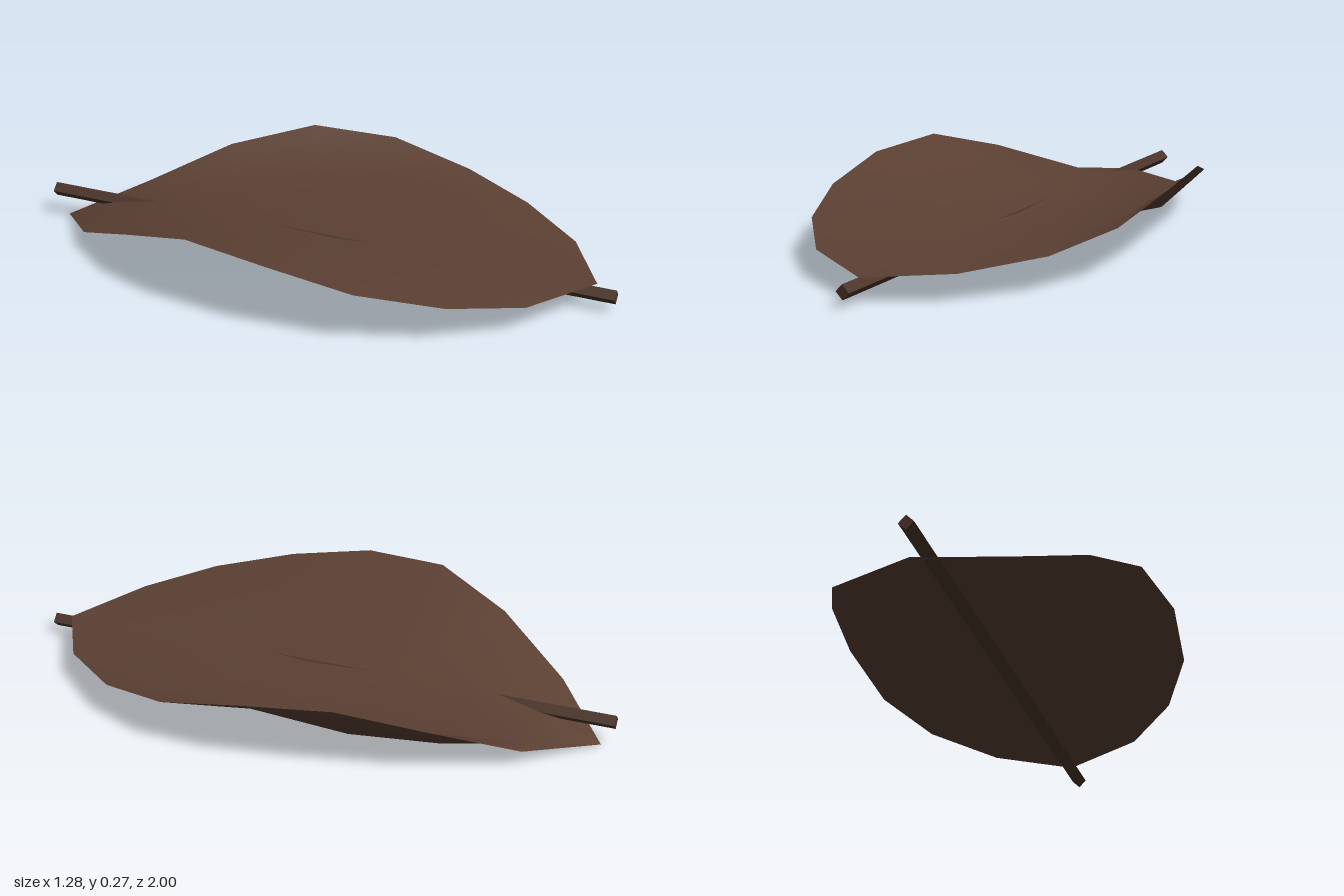
import * as THREE from 'three';

const leafBrown = new THREE.MeshStandardMaterial({ color: 0x5c4033, side: THREE.DoubleSide });
leafBrown.name = 'leafBrown';
const stemBrown = new THREE.MeshStandardMaterial({ color: 0x4a3328, flatShading: true });
stemBrown.name = 'stemBrown';

// Cross-sections from back tip to front tip: left edge, heights of the midrib and the margin bend, right edge
const stations = [
  { l: [-0.41, 0, -0.95], mid: 0, bend: 0, r: [-0.41, 0, -0.95] },
  { l: [-0.57, 0.07, -0.66], mid: 0.095, bend: 0.066, r: [-0.10, 0.07, -0.85] },
  { l: [-0.64, 0.19, -0.33], mid: 0.126, bend: 0.085, r: [0.17, 0.19, -0.68] },
  { l: [-0.64, 0.27, -0.03], mid: 0.108, bend: 0.105, r: [0.39, 0.27, -0.45] },
  { l: [-0.57, 0.25, 0.27], mid: 0.092, bend: 0.15, r: [0.55, 0.25, -0.18] },
  { l: [-0.43, 0.19, 0.54], mid: 0.104, bend: 0.155, r: [0.64, 0.18, 0.11] },
  { l: [-0.22, 0.14, 0.75], mid: 0.1, bend: 0.122, r: [0.64, 0.13, 0.39] },
  { l: [0.03, 0.10, 0.88], mid: 0.092, bend: 0.098, r: [0.55, 0.10, 0.68] },
  { l: [0.36, 0.085, 0.92], mid: 0.085, bend: 0.085, r: [0.36, 0.085, 0.92] },
];

// Folded blade: straight left half, right half with an upturned margin
function leafGeometry() {
  const across = [0, 0.5, 0.875, 1];
  const cols = across.length, last = stations.length - 1;
  const positions = [], indices = [];
  stations.forEach(({ l, mid, bend, r }, row) => {
    const heights = [l[1], mid, bend, r[1]];
    across.forEach((u, c) => {
      positions.push(l[0] + (r[0] - l[0]) * u, heights[c], l[2] + (r[2] - l[2]) * u);
      if (row === last || c === cols - 1) return;
      // The tips need only one triangle per column
      const a = row * cols + c, b = a + cols;
      if (row < last - 1) indices.push(a, b, b + 1);
      if (row > 0) indices.push(a, b + 1, a + 1);
    });
  });
  const geo = new THREE.BufferGeometry();
  geo.setAttribute('position', new THREE.Float32BufferAttribute(positions, 3));
  geo.setIndex(indices);
  geo.computeVertexNormals();
  return geo;
}

export function createModel() {
  const model = new THREE.Group();
  model.name = 'dryLeaf';

  const blade = new THREE.Mesh(leafGeometry(), leafBrown);
  blade.name = 'leafBlade';
  model.add(blade);

  // Straight four-sided stem under the midrib, one corner up
  const back = new THREE.Vector3(-0.43, 0.097, -0.99);
  const front = new THREE.Vector3(0.375, 0.053, 0.99);
  const stemGeo = new THREE.CylinderGeometry(0.026, 0.026, back.distanceTo(front), 4);
  stemGeo.rotateX(Math.PI / 2);
  const stem = new THREE.Mesh(stemGeo, stemBrown);
  stem.name = 'stem';
  stem.position.copy(back).add(front).multiplyScalar(0.5);
  stem.lookAt(front);
  model.add(stem);

  return model;
}
